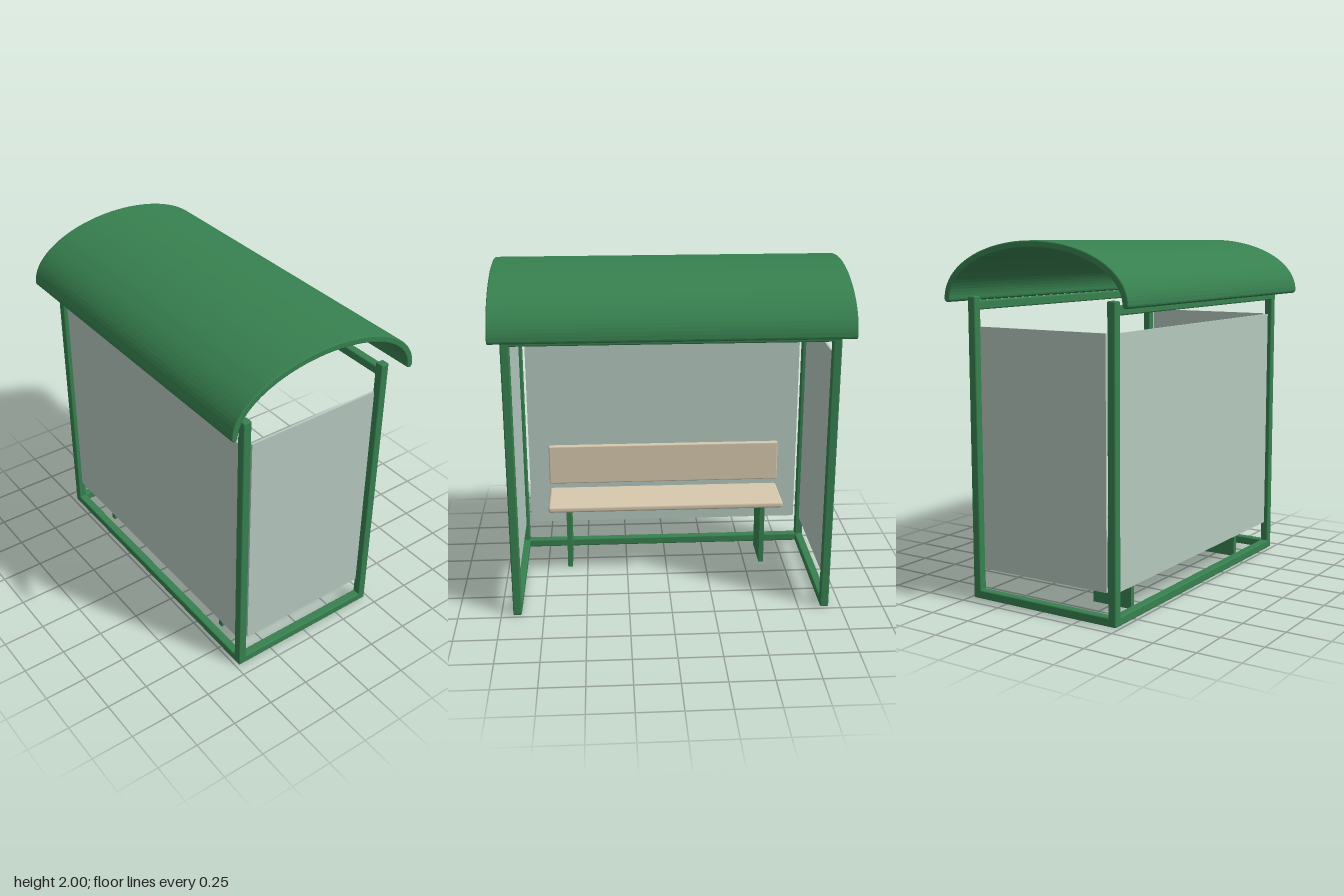
import * as THREE from 'three';
import { RoundedBoxGeometry } from 'three/addons/geometries/RoundedBoxGeometry.js';

export function createModel() {
  const model = new THREE.Group();
  model.name = 'busShelter';
  const green = new THREE.MeshStandardMaterial({ color: 0x37804f });
  const glass = new THREE.MeshStandardMaterial({ color: 0xb4c8be });
  const wood = new THREE.MeshStandardMaterial({ color: 0xd6c8ae });

  function add(name, geometry, material, x = 0, y = 0, z = 0) {
    const mesh = new THREE.Mesh(geometry, material);
    mesh.name = name;
    mesh.position.set(x, y, z);
    model.add(mesh);
    return mesh;
  }
  const soft = (w, h, d, r) => new RoundedBoxGeometry(w, h, d, 3, r);

  const T = 0.05, PX = 0.455, PZ = 0.905;

  // Frame: corner posts, top rails along both long sides, base on three sides
  for (const sx of [-1, 1]) {
    for (const sz of [-1, 1]) add('post', soft(T, 1.7, T, 0.008), green, sx * PX, 0.85, sz * PZ);
    add('topRail', soft(T, T, 2 * PZ, 0.008), green, sx * PX, 1.65, 0);
  }
  for (const sz of [-1, 1]) {
    add('endBaseRail', soft(2 * PX, T, T, 0.008), green, 0, 0.025, sz * PZ);
    add('endPanel', new THREE.BoxGeometry(0.82, 1.36, 0.012), glass, 0, 0.855, sz * PZ);
  }
  add('backBaseRail', soft(T, T, 2 * PZ, 0.008), green, -PX, 0.025, 0);
  add('backPanel', new THREE.BoxGeometry(0.012, 1.36, 1.73), glass, -PX, 0.855, 0);

  // Bench
  add('seat', soft(0.33, 0.04, 1.47, 0.015), wood, -0.255, 0.41, 0);
  add('backrest', soft(0.035, 0.255, 1.47, 0.008), wood, -0.388, 0.6, 0);
  for (const sz of [-1, 1]) add('benchLeg', new THREE.BoxGeometry(0.25, 0.39, 0.03), green, -0.255, 0.195, sz * 0.61);

  // Roof: an elliptical arch with rounded lower edges, bevelled at both ends
  const A = 0.577, B = 0.297, CY = 1.685, BEVEL = 0.006, R = 0.018 - BEVEL, N = 48;
  const outer = [], inner = [];
  for (let i = 0; i <= N; i++) {
    const t = (Math.PI * i) / N;
    const n = new THREE.Vector2(Math.cos(t) / A, Math.sin(t) / B).normalize();
    const p = new THREE.Vector2(A * Math.cos(t), CY + B * Math.sin(t));
    outer.push(p.clone().addScaledVector(n, R));
    inner.push(p.addScaledVector(n, -R));
  }
  const cap = (cx, from) => [1, 2, 3, 4, 5].map((i) => {
    const t = from - (Math.PI * i) / 6;
    return new THREE.Vector2(cx + R * Math.cos(t), CY + R * Math.sin(t));
  });
  const outline = [...outer, ...cap(-A, Math.PI).map((p) => new THREE.Vector2(-2 * A - p.x, 2 * CY - p.y)).reverse()
    .map((p) => new THREE.Vector2(p.x, CY - Math.abs(p.y - CY))).sort((a, b) => a.x - b.x),
    ...inner.reverse(), ...cap(A, 0).map((p) => new THREE.Vector2(p.x, p.y)).sort((a, b) => a.x - b.x)];
  const length = 1.976;
  const roofGeometry = new THREE.ExtrudeGeometry(new THREE.Shape(outline), {
    depth: length - 2 * BEVEL, bevelEnabled: true, bevelSize: BEVEL, bevelThickness: BEVEL, bevelSegments: 2,
  });
  roofGeometry.translate(0, 0, -length / 2 + BEVEL);
  add('roof', roofGeometry, green);

  return model;
}
